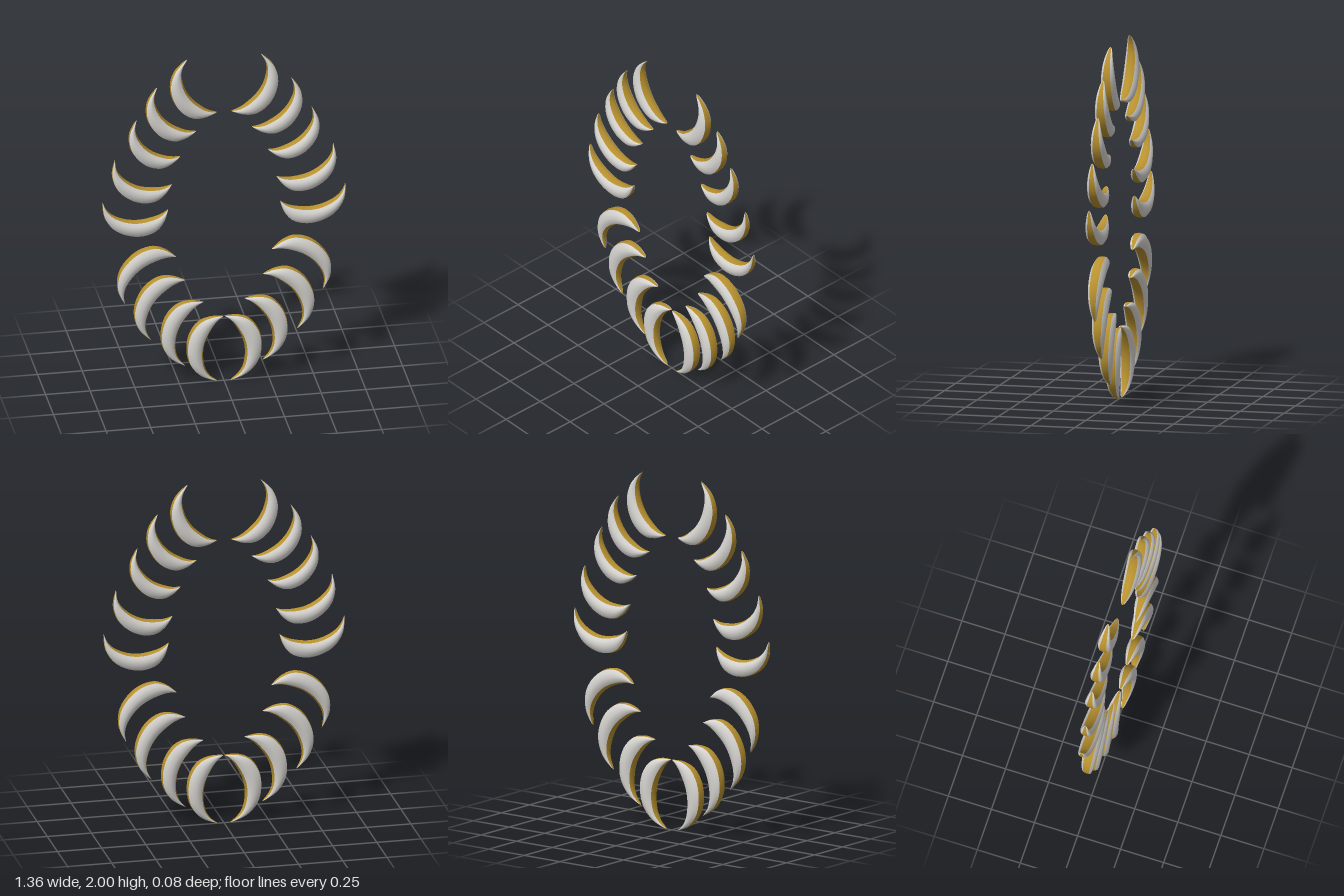
import * as THREE from 'three';

const ivory = new THREE.MeshStandardMaterial({ color: 0xd6d4d0 });
ivory.name = 'pale silver';
const gold = new THREE.MeshStandardMaterial({ color: 0xb8912f });
gold.name = 'gold';

const spline = (pts) => new THREE.SplineCurve(pts.map(([x, y]) => new THREE.Vector2(x, y)));

// Leaf outline on a unit chord: thin tip at 0, fuller tip at 1
const convexEdge = spline([[0, 0], [0.08, 0.24], [0.25, 0.41], [0.47, 0.48], [0.7, 0.465], [0.89, 0.36], [0.98, 0.19], [1, 0]]);
const concaveEdge = spline([[0, 0], [0.09, 0.12], [0.22, 0.2], [0.42, 0.24], [0.62, 0.22], [0.82, 0.14], [0.93, 0.07], [1, 0]]);

// Cross-section: position from convex to concave edge, and depth
const half = [[0, 0], [0.05, 0.58], [0.25, 0.92], [0.5, 1], [0.72, 0.92], [0.89, 0.6], [1, 0]];
const ring = [...half, ...half.slice(1, 6).reverse().map(([w, z]) => [w, -z])];
const DEPTH = 0.042;
const STEPS = 28;

// Lofts the chosen run of ring points along one leaf
function leafStrip(leaf, side, run) {
  const [ax, ay, bx, by, turn] = leaf;
  const dx = bx - ax, dy = by - ay;
  const nx = -dy * turn, ny = dx * turn;
  const position = [], index = [];
  for (let i = 0; i <= STEPS; i++) {
    const t = i / STEPS;
    const outer = convexEdge.getPoint(t), inner = concaveEdge.getPoint(t);
    const depth = DEPTH * Math.pow(Math.max(0, Math.sin(Math.PI * t)), 0.7);
    for (const k of run) {
      const [w, z] = ring[k];
      const p = outer.clone().lerp(inner, w);
      position.push(side * (ax + dx * p.x + nx * p.y), ay + dy * p.x + ny * p.y, z * depth);
    }
  }
  const n = run.length;
  for (let i = 0; i < STEPS; i++) {
    for (let j = 0; j < n - 1; j++) {
      const a = i * n + j, b = a + n, c = a + 1, d = b + 1;
      if (turn * side > 0) index.push(a, c, b, b, c, d);
      else index.push(a, b, c, b, d, c);
    }
  }
  const geometry = new THREE.BufferGeometry();
  geometry.setAttribute('position', new THREE.Float32BufferAttribute(position, 3));
  geometry.setIndex(index);
  geometry.computeVertexNormals();
  return geometry;
}

const strips = [
  ['frontFace', ivory, [1, 2, 3, 4, 5]],
  ['backFace', ivory, [7, 8, 9, 10, 11]],
  ['concaveRim', gold, [5, 6, 7]],
  ['convexRim', gold, [11, 0, 1]],
];

// Thin tip x, y; full tip x, y; bulge direction
const leaves = [
  [0.205, 2.0, 0.04, 1.66, 1],
  [0.375, 1.84, 0.155, 1.553, 1],
  [0.49, 1.65, 0.245, 1.405, 1],
  [0.611, 1.415, 0.292, 1.236, 1],
  [0.682, 1.163, 0.313, 1.082, 1],
  [0.553, 0.514, 0.267, 0.786, -1],
  [0.408, 0.283, 0.217, 0.638, -1],
  [0.215, 0.108, 0.115, 0.495, -1],
  [0.035, 0.0, 0.003, 0.398, -1],
];

export function createModel() {
  const model = new THREE.Group();
  model.name = 'leafWreath';
  for (const side of [1, -1]) {
    leaves.forEach((leaf, i) => {
      const group = new THREE.Group();
      group.name = (side > 0 ? 'left' : 'right') + 'Leaf' + (i + 1);
      for (const [name, material, run] of strips) {
        const mesh = new THREE.Mesh(leafStrip(leaf, side, run), material);
        mesh.name = name;
        group.add(mesh);
      }
      model.add(group);
    });
  }
  return model;
}
